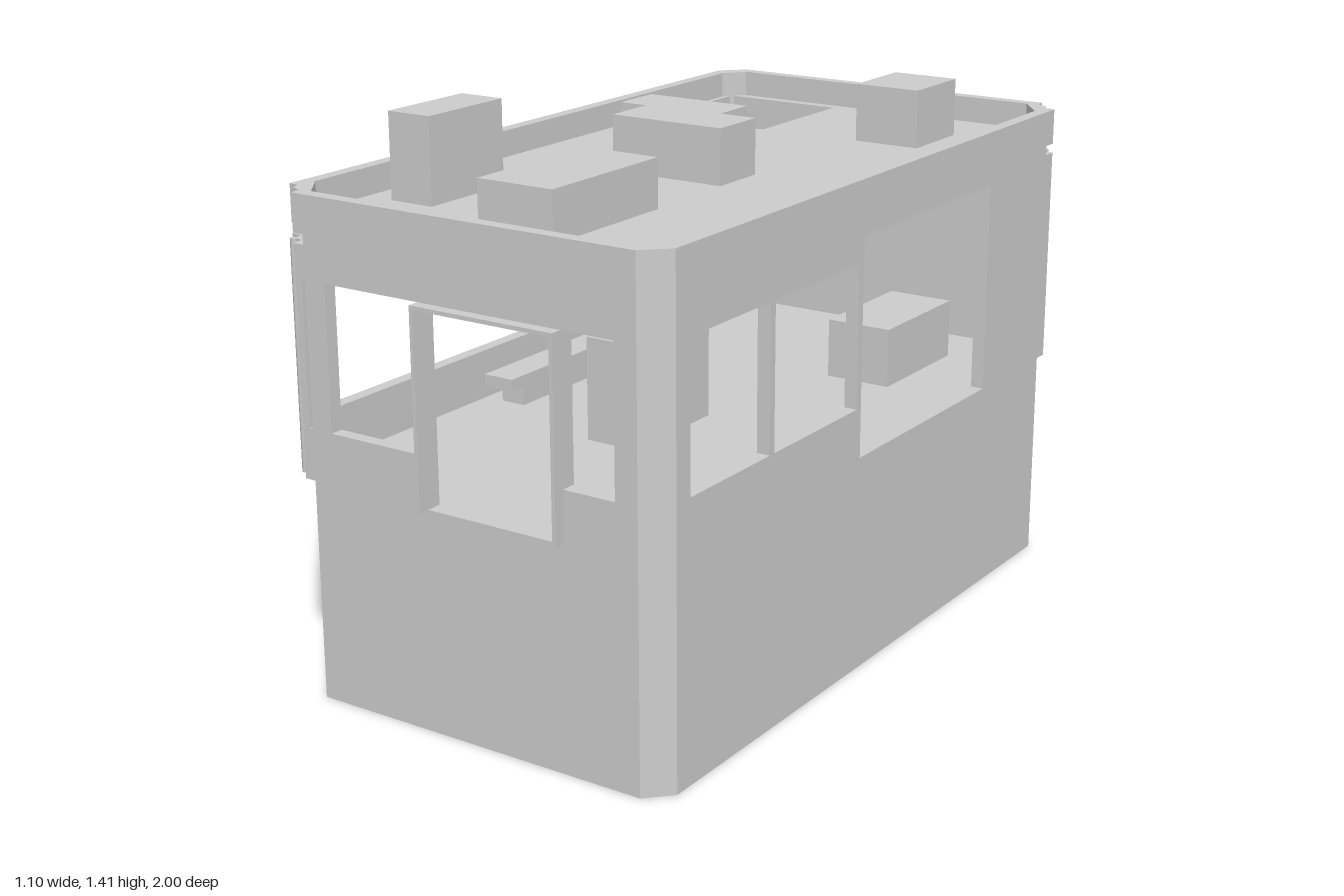
import * as THREE from 'three';

const FLOOR = 0.565, TOP = 1.265, T = 0.035, ZC = -0.015, HX = 0.55, HZ = 0.985;

export function createModel() {
  const group = new THREE.Group();
  const mat = new THREE.MeshStandardMaterial({ color: 0xcccccc });
  mat.name = 'plain grey';

  const add = (name, geo) => {
    const m = new THREE.Mesh(geo, mat);
    m.name = name;
    group.add(m);
    return m;
  };
  // box given by its limits
  const box = (name, x0, x1, y0, y1, z0, z1) =>
    add(name, new THREE.BoxGeometry(x1 - x0, y1 - y0, z1 - z0))
      .position.set((x0 + x1) / 2, (y0 + y1) / 2, (z0 + z1) / 2);
  const vecs = (pts) => pts.map(([a, b]) => new THREE.Vector2(a, b));
  const rect = (a0, a1, b0, b1) => [[a0, b0], [a1, b0], [a1, b1], [a0, b1]];
  const extrude = (outline, holes, depth) => {
    const s = new THREE.Shape(vecs(outline));
    for (const h of holes) s.holes.push(new THREE.Path(vecs(h)));
    return new THREE.ExtrudeGeometry(s, { depth, bevelEnabled: false });
  };
  // floor plan of x, z points raised from y0 to y1
  const prism = (name, plan, y0, y1, holes = []) => {
    const flip = (p) => p.map(([x, z]) => [x, -z]);
    const g = extrude(flip(plan), holes.map(flip), y1 - y0);
    g.rotateX(-Math.PI / 2).translate(0, y0, 0);
    add(name, g);
  };
  // point measured inward from one of the four corners
  const at = (sx, sz, dx, dz) => [sx * (HX - dx), ZC + sz * (HZ - dz)];

  // Solid base with small chamfers on two corners and wide ones on the others
  prism('base', [
    at(1, 1, 0.06, 0), at(1, 1, 0, 0.06), at(1, -1, 0, 0.11), at(1, -1, 0.1, 0),
    at(-1, -1, 0.06, 0), at(-1, -1, 0, 0.06), at(-1, 1, 0, 0.11), at(-1, 1, 0.1, 0),
  ], 0, FLOOR);

  // Side walls, drawn in z and y
  const sideWall = (name, outline, holes, outerX) => {
    const g = extrude(outline, holes, T);
    g.rotateY(-Math.PI / 2).translate(outerX, 0, 0);
    add(name, g);
  };
  sideWall('leftWall', [
    [-0.88, FLOOR], [-0.555, FLOOR], [-0.555, 1.125], [0.11, 1.125], [0.11, FLOOR],
    [0.875, FLOOR], [0.875, TOP], [-0.88, TOP],
  ], [rect(0.13, 0.51, 0.695, 1.06), rect(0.53, 0.855, 0.695, 1.06)], HX);
  sideWall('rightWall', rect(-0.905, 0.85, FLOOR, TOP),
    [rect(-0.885, -0.01, 0.695, 1.06), rect(0.01, 0.81, 0.695, 1.06)], -HX + T);

  // Front wall with a wide window that drops to a doorway, and closed back wall
  const front = extrude([
    [-0.45, FLOOR], [-0.11, FLOOR], [-0.11, 0.695], [-0.39, 0.695], [-0.39, 1.06],
    [0.43, 1.06], [0.43, 0.695], [0.29, 0.695], [0.29, FLOOR], [0.47, FLOOR],
    [0.47, TOP], [-0.45, TOP],
  ], [], T);
  front.translate(0, 0, 0.935);
  add('frontWall', front);
  box('backWall', -0.47, 0.45, FLOOR, TOP, -1, -1 + T);

  // Plain chamfered corners
  for (const s of [1, -1]) {
    const plan = [[0.08, 0], [0.06, 0], [0, 0.06], [0, 0.095], [T, 0.095], [0.08, T]];
    prism('plainCorner', plan.map(([a, b]) => at(s, s, a, b)), FLOOR, TOP);
  }

  // Stepped corners with a groove near the top and a thin pipe
  for (const s of [1, -1]) {
    const inner = (e) => [[0, 0.12], [T, 0.12], [e, T]];
    const stepped = (e) => [[e, 0], [0.07, 0], [0.065, 0.03], [0.04, 0.04],
      [0.03, 0.065], [0, 0.07], ...inner(e)];
    const chamfer = [[0.1, 0], [0, 0.11], ...inner(0.1)];
    const slot = s < 0 ? 0.09 : 0.1;
    const levels = [
      [stepped(0.1), FLOOR, 0.695], [stepped(slot), 0.695, 1.06], [stepped(0.1), 1.06, 1.145],
      [chamfer, 1.145, 1.17], [stepped(0.1), 1.17, TOP],
    ];
    for (const [plan, y0, y1] of levels)
      prism('steppedCorner', plan.map(([a, b]) => at(s, -s, a, b)), y0, y1);
    const [px, pz] = at(s, -s, 0.037, 0.037);
    add('cornerPipe', new THREE.CylinderGeometry(0.01, 0.01, 1.145 - FLOOR, 8))
      .position.set(px, (1.145 + FLOOR) / 2, pz);
  }

  // Door frame standing proud of the front wall
  box('doorPostRight', -0.11, -0.1, FLOOR, 1.06, 0.93, 1);
  box('doorPostLeft', 0.28, 0.29, FLOOR, 1.06, 0.93, 1);
  box('doorLintel', -0.1, 0.28, 1.05, 1.06, 0.93, 1);

  // Roof slab with a hatch
  prism('roof', [
    at(1, 1, 0.075, 0.03), at(1, 1, 0.03, 0.09), at(1, -1, 0.03, 0.115), at(1, -1, 0.095, 0.03),
    at(-1, -1, 0.075, 0.03), at(-1, -1, 0.03, 0.09), at(-1, 1, 0.03, 0.115), at(-1, 1, 0.095, 0.03),
  ], 1.16, 1.195, [rect(-0.5, -0.15, -0.935, -0.55)]);
  box('hatchPost', -0.5, -0.47, FLOOR, 1.16, -0.94, -0.91);

  // Roof units: x limits, top, z limits
  const units = [
    [0.14, 0.325, 1.35, -0.775, -0.56], [-0.435, -0.12, 1.285, -0.42, -0.275],
    [-0.185, 0.14, 1.34, -0.05, 0.11], [-0.435, -0.31, 1.413, 0.4, 0.675],
    [-0.063, 0.15, 1.32, 0.395, 0.805],
  ];
  for (const [x0, x1, y, z0, z1] of units) box('roofUnit', x0, x1, 1.19, y, z0, z1);

  // Furniture inside
  box('counter', -0.085, 0.06, FLOOR, 0.835, 0.04, 0.37);
  box('cabinet', 0.145, 0.33, FLOOR, 0.725, -0.775, -0.425);
  box('benchBase', -0.46, -0.39, FLOOR, 0.62, -0.17, 0.24);
  box('benchSeat', -0.47, -0.38, 0.62, 0.652, -0.23, 0.3);

  return group;
}
